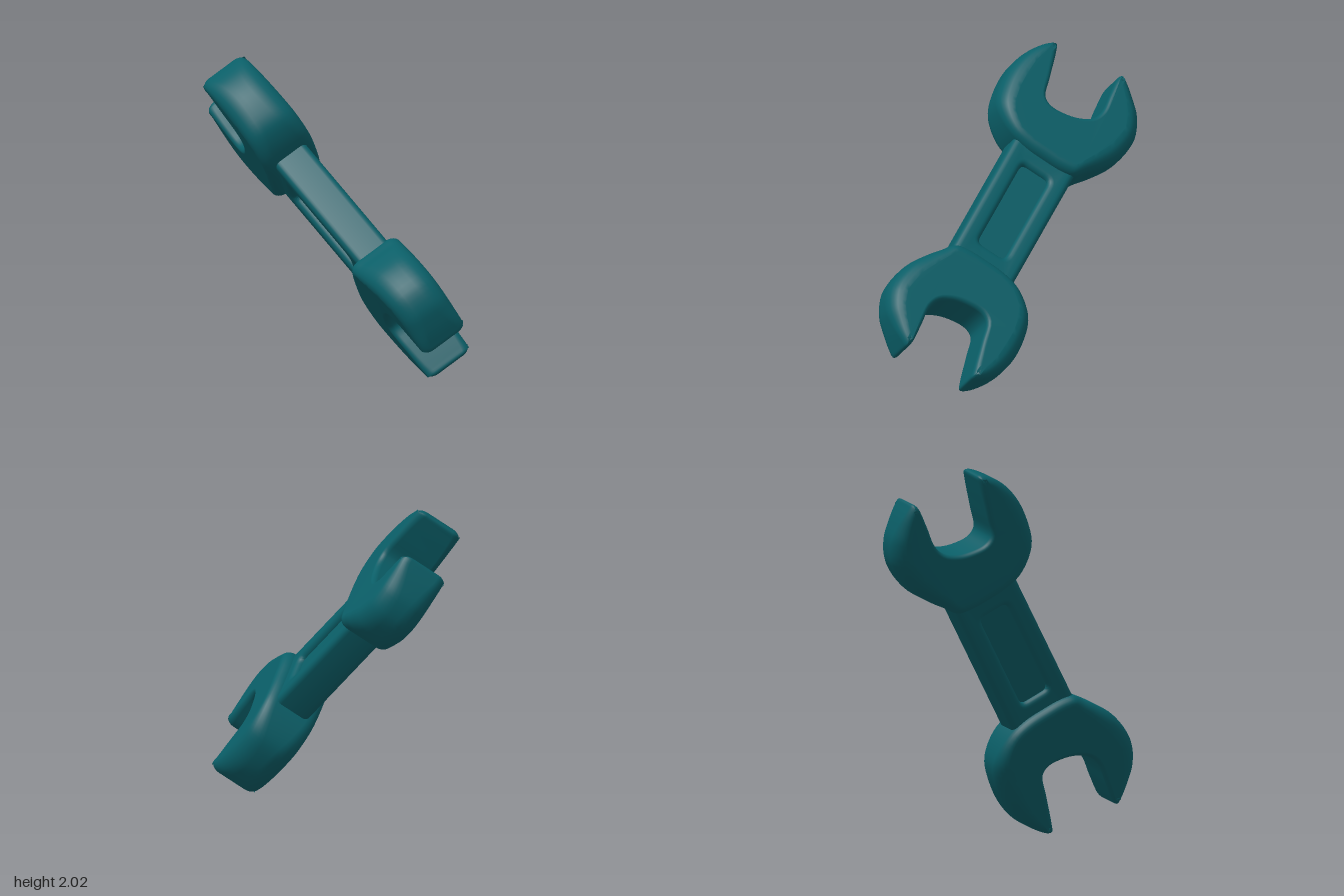
import * as THREE from 'three';
import { toCreasedNormals } from 'three/addons/utils/BufferGeometryUtils.js';

// Jaw outline, counter-clockwise: [along the handle, across it, edge rounding]
const JAW = [
  [0.43, 0, 0.06], [0.435, -0.15, 0.06], [0.46, -0.235, 0.06], [0.53, -0.29, 0.07], [0.6, -0.348, 0.09],
  [0.751, -0.44, 0.11], [0.952, -0.47, 0.11], [1.097, -0.411, 0.1], [1.18, -0.325, 0.08],
  [1.255, -0.22, 0.05], [1.275, -0.18, 0.05], [1.245, -0.16, 0.04],
  [1.1, -0.165, 0.03], [0.96, -0.175, 0.03], [0.88, -0.145, 0.03], [0.82, -0.06, 0.03],
  [0.79, 0.04, 0.03], [0.785, 0.14, 0.03], [0.82, 0.2, 0.03], [0.95, 0.235, 0.03],
  [1.16, 0.285, 0.04], [1.205, 0.3, 0.05], [1.205, 0.325, 0.05], [1.15, 0.385, 0.055],
  [1.04, 0.457, 0.09], [0.9, 0.495, 0.11], [0.759, 0.492, 0.11], [0.62, 0.455, 0.1],
  [0.536, 0.38, 0.08], [0.465, 0.26, 0.06], [0.435, 0.13, 0.06],
];

// Solid from the jaw outline: rings rounded into both faces, thinner towards the tips
function jawGeometry() {
  const curve = new THREE.CatmullRomCurve3(JAW.map(a => new THREE.Vector3(...a)), true, 'centripetal');
  const count = JAW.length * 4, steps = 6;
  const outline = Array.from({ length: count }, (_, i) => curve.getPoint(i / count));
  const inward = outline.map((_, i) => {
    const before = outline[(i + count - 1) % count], after = outline[(i + 1) % count];
    return new THREE.Vector2(before.y - after.y, after.x - before.x).normalize();
  });
  const positions = [], index = [];
  let cap = [];
  const addRing = (angle, side) => {
    cap = outline.map((point, i) => {
      const inset = point.z * (1 - Math.cos(angle));
      const x = point.x + inward[i].x * inset, y = point.y + inward[i].y * inset;
      const half = 0.188 - 0.03 * (x - 0.6);
      positions.push(x, y, side * (half - 1.3 * point.z * (1 - Math.sin(angle))));
      return new THREE.Vector2(x, y);
    });
  };
  for (let j = steps; j >= 0; j--) addRing(j / steps * Math.PI / 2, -1);
  for (let j = 0; j <= steps; j++) addRing(j / steps * Math.PI / 2, 1);
  const last = 2 * steps + 1;
  for (let r = 0; r < last; r++) {
    for (let i = 0; i < count; i++) {
      const a = r * count + i, b = r * count + (i + 1) % count;
      index.push(a, b, b + count, a, b + count, a + count);
    }
  }
  for (const [a, b, c] of THREE.ShapeUtils.triangulateShape(cap, [])) {
    index.push(c, b, a, last * count + a, last * count + b, last * count + c);
  }
  const geometry = new THREE.BufferGeometry();
  geometry.setAttribute('position', new THREE.Float32BufferAttribute(positions, 3));
  geometry.setIndex(index);
  geometry.computeVertexNormals();
  return geometry;
}

function roundedRect(path, w, h, r) {
  path.moveTo(-w + r, -h);
  path.lineTo(w - r, -h).quadraticCurveTo(w, -h, w, -h + r);
  path.lineTo(w, h - r).quadraticCurveTo(w, h, w - r, h);
  path.lineTo(-w + r, h).quadraticCurveTo(-w, h, -w, h - r);
  path.lineTo(-w, -h + r).quadraticCurveTo(-w, -h, -w + r, -h);
  return path;
}

// Rounded bar with a long opening, closed by a thinner web
function handleGeometry() {
  const shape = roundedRect(new THREE.Shape(), 0.55, 0.195, 0.02);
  shape.holes.push(roundedRect(new THREE.Path(), 0.375, 0.148, 0.09));
  const geometry = new THREE.ExtrudeGeometry(shape, {
    depth: 0.17, bevelThickness: 0.042, bevelSize: 0.042, bevelSegments: 5, curveSegments: 8,
  });
  geometry.translate(0, 0, -0.085);
  return toCreasedNormals(geometry, 0.7);
}

export function createModel() {
  const teal = new THREE.MeshStandardMaterial({ color: 0x0a5e67 });
  teal.name = 'teal';
  const model = new THREE.Group();
  model.name = 'wrench';
  const body = new THREE.Group();
  body.name = 'wrenchBody';
  model.add(body);
  const add = (name, geometry) => {
    const mesh = new THREE.Mesh(geometry, teal);
    mesh.name = name;
    body.add(mesh);
    return mesh;
  };

  add('handle', handleGeometry());
  add('handleWeb', new THREE.BoxGeometry(0.8, 0.32, 0.172));

  // Two identical jaws, half a turn apart
  const jaw = jawGeometry();
  add('upperJaw', jaw);
  add('lowerJaw', jaw).rotation.z = Math.PI;

  // Tilt the wrench: handle direction, then the direction its flat face looks
  const along = new THREE.Vector3(-0.785, 1, -1).normalize();
  const facing = new THREE.Vector3(0.826, 0.556, -0.092);
  const across = new THREE.Vector3().crossVectors(facing, along).normalize();
  facing.crossVectors(along, across);
  body.quaternion.setFromRotationMatrix(new THREE.Matrix4().makeBasis(along, across, facing));
  body.position.y = 1;
  return model;
}
